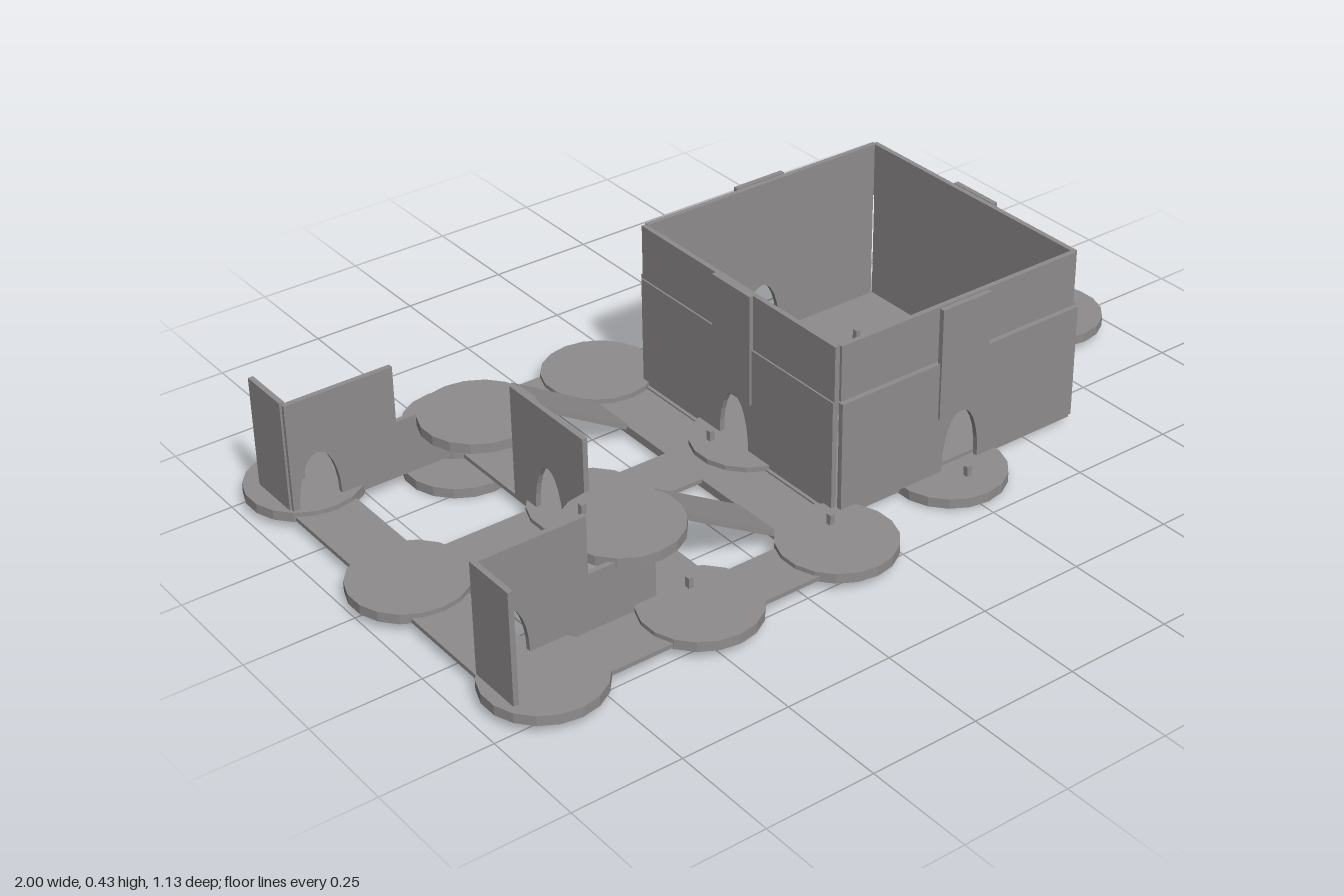
import * as THREE from 'three';

export function createModel() {
  const model = new THREE.Group();
  model.name = 'modularBuilding';
  const grey = new THREE.MeshStandardMaterial({ color: 0x8f8c8d });
  grey.name = 'grey';

  function add(name, geometry, x, y, z, parent = model) {
    const mesh = new THREE.Mesh(geometry, grey);
    mesh.name = name;
    mesh.position.set(x, y, z);
    parent.add(mesh);
    return mesh;
  }

  // Box given by its extents on each axis
  function block(name, x0, x1, y0, y1, z0, z1) {
    const g = new THREE.BoxGeometry(x1 - x0, y1 - y0, z1 - z0);
    return add(name, g, (x0 + x1) / 2, (y0 + y1) / 2, (z0 + z1) / 2);
  }

  // Round platform resting at a given height
  function disc(name, x, z, y0 = 0.022, h = 0.023) {
    const g = new THREE.CylinderGeometry(0.13, 0.13, h, 18).toNonIndexed();
    g.computeVertexNormals();
    add(name, g, x, y0 + h / 2, z);
  }

  // Upright panel along x from a to b, with an arched doorway at x = door
  function archWall(a, b, y0, y1, door, thick = 0.012) {
    const s = new THREE.Shape();
    s.moveTo(a, y0);
    s.lineTo(door - 0.05, y0);
    for (let i = 0; i <= 12; i++) {
      const t = Math.PI * (1 - i / 12);
      s.lineTo(door + 0.05 * Math.cos(t), 0.045 + 0.12 * Math.sin(t));
    }
    s.lineTo(door + 0.05, y0);
    s.lineTo(b, y0);
    s.lineTo(b, y1);
    s.lineTo(a, y1);
    const g = new THREE.ExtrudeGeometry(s, { depth: thick, bevelEnabled: false });
    return g.translate(0, 0, -thick / 2);
  }

  // Ground platforms
  const outer = [[-0.872, 0], [-0.435, 0], [-0.013, 0], [0.867, 0],
    [-0.856, -0.44], [-0.467, -0.44], [-0.11, -0.425],
    [-0.84, 0.43], [-0.467, 0.43], [-0.11, 0.42]];
  outer.forEach(([x, z]) => disc('platform', x, z));
  for (const s of [-1, 1]) {
    disc('sidePlatform', 0.264, s * 0.338, 0.005);
    disc('lowerPlatform', -0.53, s * 0.34, 0);
    disc('raisedPlatform', -0.53, s * 0.26, 0.152);
  }

  // Stacked steps inside the hall
  [0.234, 0.266, 0.296].forEach((x, i) => disc('step', x, 0, 0.035 + i * 0.033, 0.033));

  // Walkways
  for (const s of [-1, 1]) {
    block('sideWalkway', -0.86, -0.11, 0.025, 0.035, s * 0.427 - 0.066, s * 0.427 + 0.066);
  }
  block('middleWalkway', -0.87, -0.18, 0.025, 0.035, -0.064, 0.064);
  block('endWalkway', -0.936, -0.8, 0.024, 0.034, -0.43, 0.43);
  block('crossWalkway', -0.53, -0.385, 0.024, 0.034, -0.36, 0.36);
  block('entryWalkway', 0.61, 0.867, 0.025, 0.035, -0.064, 0.064);

  // Ramps from the raised platforms down to the apron
  for (const s of [-1, 1]) {
    const ramp = add('ramp', new THREE.BoxGeometry(0.25, 0.012, 0.125), -0.3, 0.1, s * 0.26);
    ramp.rotation.z = -Math.atan2(0.125, 0.21);
  }

  // Hall floor and apron
  block('hallFloor', -0.06, 0.625, 0.01, 0.037, -0.33, 0.33);
  block('apron', -0.187, -0.06, 0.013, 0.033, -0.322, 0.322);

  // Hall walls: doorway panels, upper panels and a hanging panel over each door
  for (const s of [-1, 1]) {
    add('hallLongWall', archWall(-0.04, 0.615, 0.03, 0.3, 0.288), 0, 0, s * 0.341);
    block('hallLongUpperWall', -0.035, 0.61, 0.3, 0.43, s * 0.329 - 0.006, s * 0.329 + 0.006);
    block('hallLongLintel', 0.222, 0.354, 0.166, 0.43, s * 0.346 - 0.006, s * 0.346 + 0.006);

    const x = 0.287 + s * 0.327;
    const end = add('hallEndWall', archWall(-0.33, 0.33, 0.03, 0.3, 0), x + s * 0.006, 0, 0);
    end.rotation.y = Math.PI / 2;
    block('hallEndUpperWall', x - 0.008, x + 0.004, 0.3, 0.43, -0.33, 0.33);
    const px = x + s * 0.012;
    block('hallEndLintel', px - 0.006, px + 0.006, 0.166, 0.43, -0.066, 0.062);
  }

  // Ruined yard walls
  for (const s of [-1, 1]) {
    add('yardWall', archWall(-0.936, -0.68, 0.03, 0.3, -0.87), 0, 0, s * 0.35);
    block('yardLowWall', -0.68, -0.52, 0.03, 0.165, s * 0.35 - 0.006, s * 0.35 + 0.006);
    block('yardReturnWall', -0.941, -0.929, 0.035, 0.305, s * 0.416 - 0.064, s * 0.416 + 0.064);
  }
  const gate = add('gateWall', archWall(-0.13, 0.13, 0.03, 0.3, 0), -0.525, 0, 0);
  gate.rotation.y = Math.PI / 2;

  // Small marker pegs above the platforms
  const pegs = [[-0.872, -0.42], [-0.467, -0.42], [-0.467, 0.395], [-0.107, -0.01],
    [-0.107, 0.395], [0.85, -0.01], [0.25, -0.385, 0.05], [0.25, 0.415, 0.05],
    [0.297, -0.01, 0.17], [-0.594, 0.215, 0.195]];
  for (const [x, z, y = 0.065] of pegs) {
    block('peg', x - 0.006, x + 0.006, y, y + 0.024, z - 0.006, z + 0.006);
  }

  return model;
}
